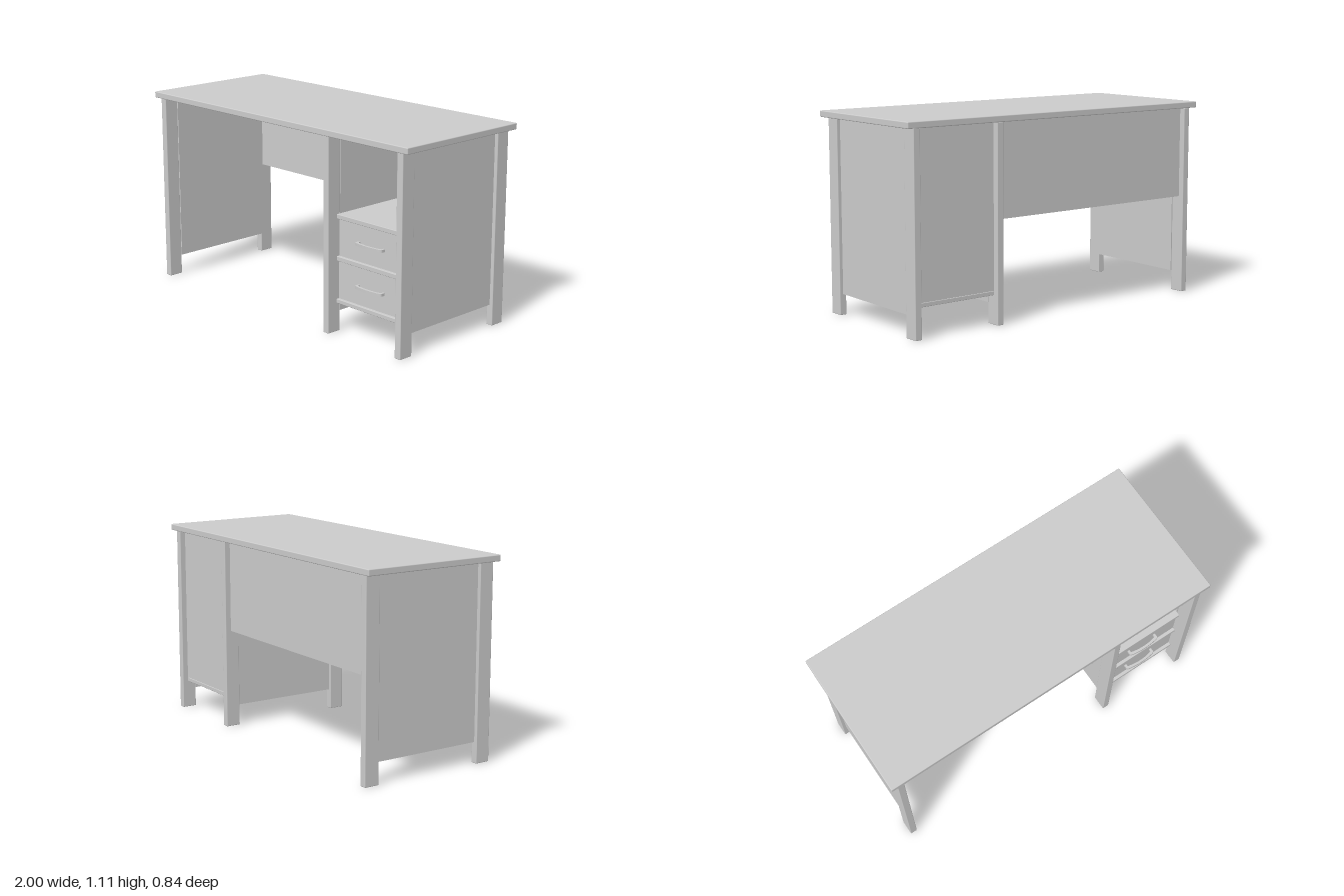
import * as THREE from 'three';
import { RoundedBoxGeometry } from 'three/addons/geometries/RoundedBoxGeometry.js';

const material = new THREE.MeshStandardMaterial({ color: 0xcccccc });

// Box given by its limits on each axis; a bevel softens the edges.
function board(name, [x0, x1], [y0, y1], [z0, z1], bevel = 0) {
  const size = [x1 - x0, y1 - y0, z1 - z0];
  const geometry = bevel
    ? new RoundedBoxGeometry(...size, 2, bevel)
    : new THREE.BoxGeometry(...size);
  const mesh = new THREE.Mesh(geometry, material);
  mesh.position.set((x0 + x1) / 2, (y0 + y1) / 2, (z0 + z1) / 2);
  mesh.name = name;
  return mesh;
}

// Bow handle: a plan outline extruded upwards, base at z = 0.
function handle(name, x, y, z) {
  const w = 0.095, h = 0.015, t = 0.013, reach = 0.04;
  const s = new THREE.Shape();
  s.moveTo(-w, 0);
  s.lineTo(-w, reach * 0.5);
  s.quadraticCurveTo(-w, reach * 0.8, -w * 0.7, reach * 0.87);
  s.quadraticCurveTo(0, reach * 1.13, w * 0.7, reach * 0.87);
  s.quadraticCurveTo(w, reach * 0.8, w, reach * 0.5);
  s.lineTo(w, 0);
  s.lineTo(w - t, 0);
  s.lineTo(w - t, reach * 0.42);
  s.quadraticCurveTo(0, reach * 0.92, -w + t, reach * 0.42);
  s.lineTo(-w + t, 0);
  const geometry = new THREE.ExtrudeGeometry(s, { depth: h, bevelEnabled: false, curveSegments: 8 });
  geometry.rotateX(Math.PI / 2);
  geometry.translate(0, h / 2, 0);
  const mesh = new THREE.Mesh(geometry, material);
  mesh.position.set(x, y, z);
  mesh.name = name;
  return mesh;
}

export function createModel() {
  const desk = new THREE.Group();
  desk.name = 'desk';

  // Desktop
  desk.add(board('desktop', [-1, 1], [1.075, 1.11], [-0.418, 0.418], 0.005));

  // Three pairs of legs
  for (const [side, x] of [['outerRight', -0.94], ['inner', 0.415], ['outerLeft', 0.937]]) {
    desk.add(board(side + 'FrontLeg', [x - 0.02, x + 0.02], [0, 1.075], [0.318, 0.403], 0.004));
    desk.add(board(side + 'BackLeg', [x - 0.02, x + 0.02], [0, 1.075], [-0.403, -0.318], 0.004));
  }

  // Side panels set between the legs
  const between = [-0.319, 0.319];
  desk.add(board('rightSidePanel', [-0.94, -0.915], [0.115, 1.075], between));
  desk.add(board('dividerPanel', [0.412, 0.437], [0.115, 1.075], between));
  desk.add(board('leftSidePanel', [0.912, 0.937], [0.115, 1.075], between));

  // Back panels
  desk.add(board('modestyPanel', [-0.921, 0.396], [0.56, 1.075], [-0.37, -0.335]));
  desk.add(board('pedestalBackPanel', [0.434, 0.918], [0.183, 1.075], [-0.37, -0.345]));

  // Pedestal shelves
  for (const [name, y0, y1] of [['bottomShelf', 0.16, 0.183], ['middleShelf', 0.395, 0.42], ['openShelf', 0.625, 0.65]]) {
    const back = name === 'bottomShelf' ? -0.372 : -0.345;
    desk.add(board(name, [0.435, 0.914], [y0, y1], [back, 0.343], 0.003));
  }

  // Drawers with handles
  for (const [name, y0, y1, grip] of [['lowerDrawer', 0.183, 0.395, 0.287], ['upperDrawer', 0.42, 0.625, 0.522]]) {
    const drawer = new THREE.Group();
    drawer.name = name;
    drawer.add(board(name + 'Front', [0.437, 0.912], [y0, y1], [0.3, 0.325]));
    drawer.add(handle(name + 'Handle', 0.675, grip, 0.324));
    desk.add(drawer);
  }

  return desk;
}
